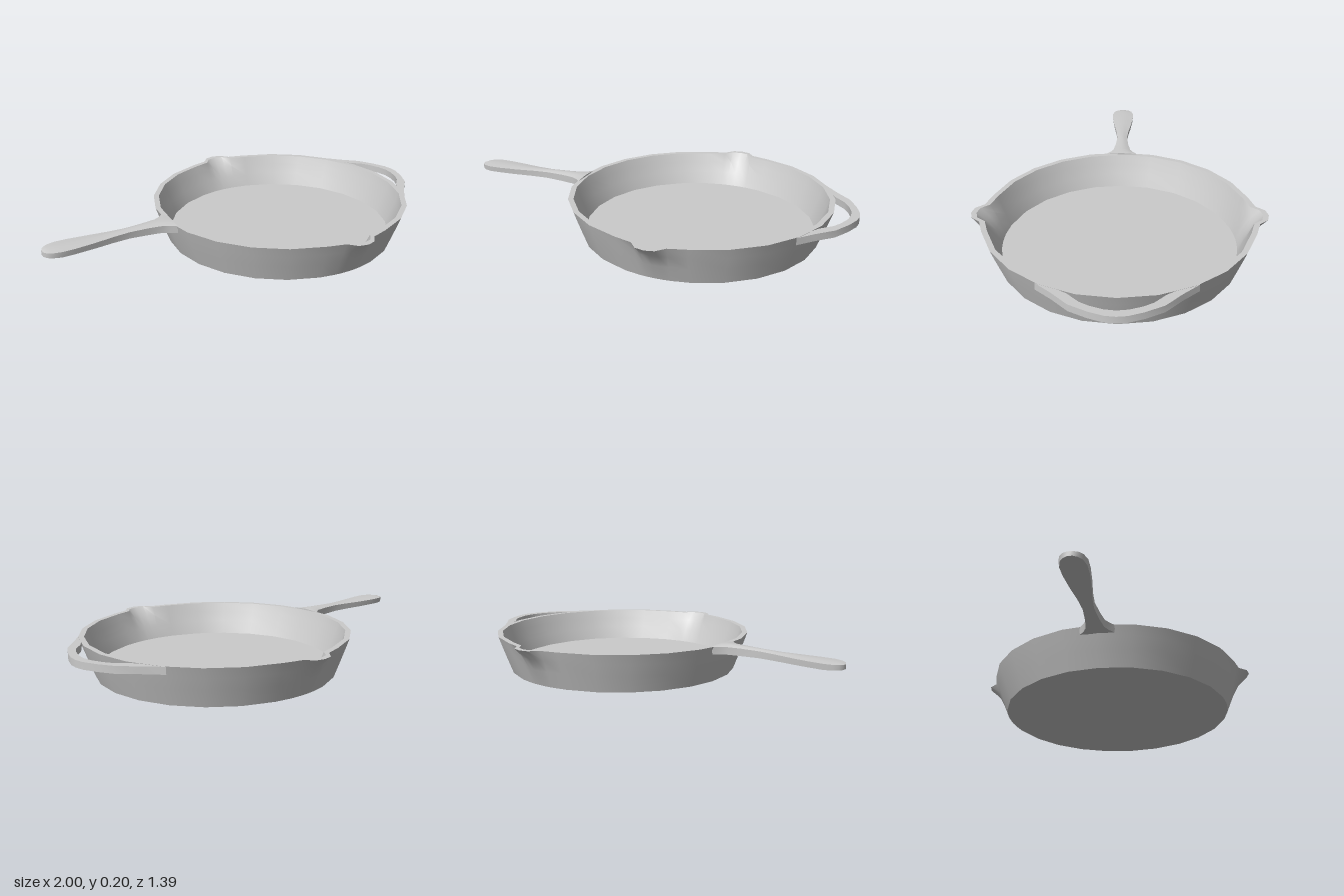
import * as THREE from 'three';
import { toCreasedNormals } from 'three/addons/utils/BufferGeometryUtils.js';

const CX = 0.24; // centre of the bowl
const TOP = 0.187; // rim height
const material = new THREE.MeshStandardMaterial({ color: 0xcccccc });

// Skins a list of closed rings of points; a collapsed ring closes an end.
function loft(rings, crease) {
  const positions = [];
  const triangle = (a, b, c) => {
    if (a.distanceTo(b) < 1e-6 || b.distanceTo(c) < 1e-6 || c.distanceTo(a) < 1e-6) return;
    for (const p of [a, b, c]) positions.push(p.x, p.y, p.z);
  };
  for (let j = 0; j < rings.length - 1; j++) {
    const lower = rings[j], upper = rings[j + 1], n = lower.length;
    for (let i = 0; i < n; i++) {
      const k = (i + 1) % n;
      triangle(lower[i], upper[i], upper[k]);
      triangle(lower[i], upper[k], lower[k]);
    }
  }
  const geometry = new THREE.BufferGeometry();
  geometry.setAttribute('position', new THREE.Float32BufferAttribute(positions, 3));
  return toCreasedNormals(geometry, crease);
}

function part(name, geometry) {
  const mesh = new THREE.Mesh(geometry, material);
  mesh.name = name;
  return mesh;
}

// Bowl: 24-sided flared wall with a pouring lip pulled out on both sides
function bowlGeometry() {
  const stations = []; // [angle in degrees, lip offset]
  for (let a = 0; a < 360; a += 15) {
    if (a % 180 === 90) {
      stations.push([a - 7, 0.008], [a - 3.7, 0.046], [a, 0.055], [a + 3.7, 0.046], [a + 7, 0.008]);
    } else stations.push([a, 0]);
  }
  // [y, radius, share of the lip offset], from under the base, over the rim, to the floor
  const profile = [
    [0, 0, 0], [0, 0.572, 0], [0.08, 0.602, 0.1], [0.138, 0.623, 0.3], [TOP, 0.64, 1],
    [TOP, 0.614, 1], [0.145, 0.6, 0.45], [0.09, 0.579, 0.1], [0.03, 0.556, 0], [0.03, 0, 0],
  ];
  const rings = profile.map(([y, radius, share]) => stations.map(([deg, lip]) => {
    const a = THREE.MathUtils.degToRad(deg), r = radius + lip * share;
    return new THREE.Vector3(CX + r * Math.cos(a), y, r * Math.sin(a));
  }));
  return loft(rings, 0.65);
}

// Long handle: crowned bar, pinched near the bowl and rounded at the tip
function handleGeometry() {
  // [x, half width, edge height, crown height, underside]
  const sections = [
    [-0.383, 0.085, TOP, 0.194, 0.150], [-0.41, 0.062, TOP, 0.196, 0.150],
    [-0.44, 0.045, TOP, 0.196, 0.151], [-0.51, 0.034, TOP, 0.195, 0.152],
    [-0.6, 0.027, 0.186, 0.193, 0.154], [-0.68, 0.034, 0.185, 0.190, 0.155],
    [-0.78, 0.049, 0.184, 0.189, 0.156], [-0.87, 0.059, 0.184, 0.189, 0.157],
    [-0.93, 0.060, 0.184, 0.188, 0.157], [-0.97, 0.049, 0.183, 0.187, 0.158],
    [-0.99, 0.032, 0.182, 0.185, 0.158], [-1, 0.012, 0.180, 0.182, 0.159],
  ];
  const rings = sections.map(([x, w, edge, crown, under]) => [
    [edge, -w], [crown - 0.002, -w * 0.5], [crown, 0], [crown - 0.002, w * 0.5], [edge, w],
    [under, w * 0.94], [under, -w * 0.94],
  ].map(([y, z]) => new THREE.Vector3(x, y, z)));
  const cap = (x) => rings[0].map(() => new THREE.Vector3(x, 0.17, 0));
  return loft([cap(-0.383), ...rings, cap(-1)], 0.7);
}

// Helper handle: thin curved loop leaving a slot beside the bowl
function helperGeometry() {
  const outer = [[0.785, 0.335], [0.85, 0.262], [0.922, 0.192], [0.965, 0.112], [0.99, 0.045], [0.995, 0]];
  const inner = [[0.957, 0], [0.95, 0.05], [0.93, 0.105], [0.905, 0.148], [0.852, 0.2], [0.785, 0.305]];
  const mirror = (points) => points.filter(([, z]) => z > 0).map(([x, z]) => [x, -z]).reverse();
  const outline = [...outer, ...mirror(outer), ...mirror(inner), ...inner];
  const shape = new THREE.Shape(outline.map(([x, z]) => new THREE.Vector2(x, z)));
  const geometry = new THREE.ExtrudeGeometry(shape, { depth: 0.033, bevelEnabled: false });
  geometry.rotateX(Math.PI / 2).translate(0, TOP - 0.001, 0);
  return toCreasedNormals(geometry, 0.65);
}

export function createModel() {
  const pan = new THREE.Group();
  pan.name = 'fryingPan';
  pan.add(
    part('bowl', bowlGeometry()),
    part('longHandle', handleGeometry()),
    part('helperHandle', helperGeometry()),
  );
  return pan;
}
